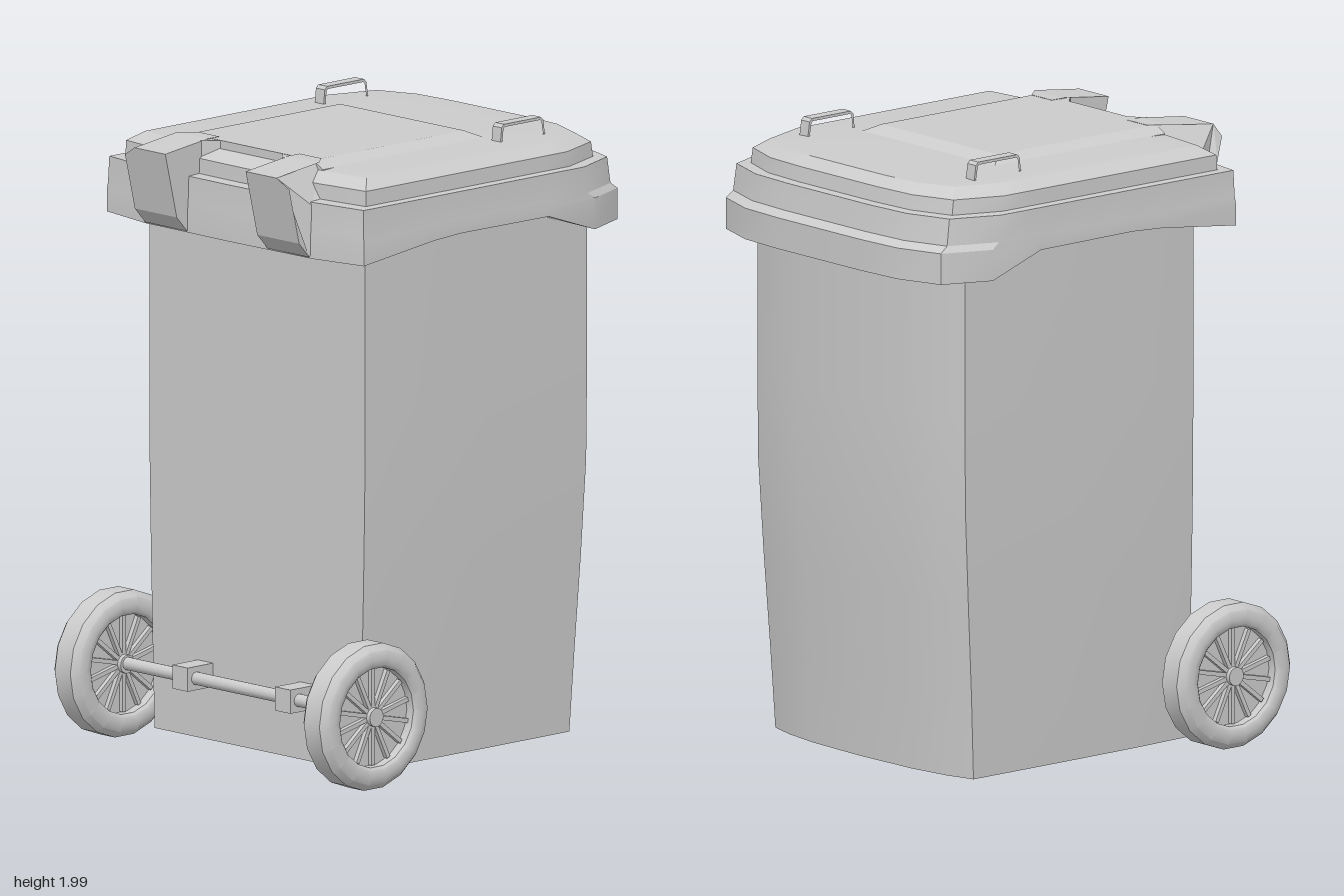
import * as THREE from 'three';
import { toCreasedNormals } from 'three/addons/utils/BufferGeometryUtils.js';

const material = new THREE.MeshStandardMaterial({ color: 0xcccccc });

function part(name, geometry, parent, x = 0, y = 0, z = 0) {
  const mesh = new THREE.Mesh(geometry, material);
  mesh.name = name;
  mesh.position.set(x, y, z);
  parent.add(mesh);
  return mesh;
}

// Closed skin through rings listed bottom to top, each counterclockwise seen from above
function loft(rings, crease = 0.45) {
  const pos = [];
  const tri = (...pts) => pts.forEach((p) => pos.push(...p));
  const n = rings[0].length;
  for (let i = 0; i < rings.length - 1; i++) {
    for (let j = 0; j < n; j++) {
      const k = (j + 1) % n, lo = rings[i], up = rings[i + 1];
      tri(lo[j], lo[k], up[k]);
      tri(lo[j], up[k], up[j]);
    }
  }
  const cap = (ring, upward) => {
    const c = [0, 1, 2].map((a) => ring.reduce((s, p) => s + p[a], 0) / n);
    ring.forEach((p, j) => {
      const q = ring[(j + 1) % n];
      upward ? tri(c, p, q) : tri(c, q, p);
    });
  };
  cap(rings[0], false);
  cap(rings[rings.length - 1], true);
  const g = new THREE.BufferGeometry();
  g.setAttribute('position', new THREE.Float32BufferAttribute(pos, 3));
  return toCreasedNormals(g, crease);
}

// Full ring from its +x half, listed from front to back; y may be a rule of z
function mirrorRing(half, y) {
  const at = (x, z) => [x, typeof y === 'function' ? y(z) : y, z];
  const left = half.map(([x, z]) => at(x, z));
  const right = half.filter(([x]) => x > 0).reverse().map(([x, z]) => at(-x, z));
  return [...left, ...right];
}

const bodyRing = (y, w, back) => mirrorRing([
  [0, 0.41], [w - 0.012, 0.41], [w - 0.003, 0.2], [w, -0.1], [w, back + 0.055],
  [w * 0.8, back + 0.028], [w * 0.5, back + 0.008], [0, back],
], y);

const lidRing = (y, w, corner, front, back) => mirrorRing([
  [0, front], [w * 0.65, front - 0.005], [w, corner], [w, 0.2], [w, 0.08], [w, -0.3],
  [w, back + 0.22], [w * 0.89, back + 0.06], [w * 0.63, back + 0.01], [w * 0.34, back], [0, back],
], y);

// Lower edge of the lid skirt, arched along the sides
const skirtEdge = [[-0.5, 1.655], [-0.3, 1.725], [0.08, 1.727], [0.2, 1.72], [0.41, 1.69], [0.54, 1.68]];
function skirtY(z) {
  if (z <= skirtEdge[0][0]) return skirtEdge[0][1];
  for (let i = 1; i < skirtEdge.length; i++) {
    const [z0, y0] = skirtEdge[i - 1], [z1, y1] = skirtEdge[i];
    if (z <= z1) return y0 + (y1 - y0) * (z - z0) / (z1 - z0);
  }
  return 1.68;
}

// Extrudes a (z, y) outline along x, from x = 0 to x = width
function extrudeX(points, width, hole) {
  const shape = new THREE.Shape(points.map(([z, y]) => new THREE.Vector2(-z, y)));
  if (hole) shape.holes.push(new THREE.Path(hole.map(([z, y]) => new THREE.Vector2(-z, y))));
  return new THREE.ExtrudeGeometry(shape, { depth: width, bevelEnabled: false }).rotateY(Math.PI / 2);
}

function makeWheel() {
  const wheel = new THREE.Group();
  wheel.name = 'wheel';
  const side = [[0.235, 0.035], [0.216, 0.056], [0.19, 0.0625], [0.168, 0.058], [0.16, 0.05], [0.16, 0.01]];
  const profile = [...side.map(([r, a]) => [r, -a]).reverse(), ...side].map(([r, a]) => new THREE.Vector2(r, a));
  part('tyre', toCreasedNormals(new THREE.LatheGeometry(profile, 18), 0.6).rotateZ(Math.PI / 2), wheel);
  part('wheelDisc', new THREE.CylinderGeometry(0.163, 0.163, 0.04, 18).rotateZ(Math.PI / 2), wheel);
  part('hub', new THREE.CylinderGeometry(0.03, 0.03, 0.1, 14).rotateZ(Math.PI / 2), wheel);
  for (let i = 0; i < 14; i++) {
    const spoke = new THREE.BoxGeometry(0.07, 0.13, 0.014).translate(0, 0.09, 0);
    part('spoke', spoke.rotateX((i / 14) * Math.PI * 2), wheel);
  }
  return wheel;
}

export function createModel() {
  const model = new THREE.Group();
  model.name = 'wheeledBin';
  const bin = new THREE.Group();
  bin.name = 'bin';
  bin.position.x = -0.005;
  model.add(bin);

  // Tapered container with a bowed back
  part('container', loft([
    bodyRing(0.03, 0.477, -0.545), bodyRing(0.3, 0.485, -0.56), bodyRing(0.6, 0.493, -0.58),
    bodyRing(0.9, 0.499, -0.597), bodyRing(1.2, 0.5, -0.6), bodyRing(1.84, 0.5, -0.6),
  ], 0.6), bin);

  // Lid: underside, skirt, stepped back, slab and bevelled top
  part('lid', loft([
    lidRing(skirtY, 0.47, 0.39, 0.39, -0.57),
    lidRing(skirtY, 0.582, 0.505, 0.54, -0.72),
    lidRing(1.755, 0.582, 0.505, 0.54, -0.72),
    lidRing(1.775, 0.579, 0.503, 0.538, -0.692),
    lidRing(1.86, 0.576, 0.5, 0.535, -0.68),
    lidRing(1.862, 0.545, 0.46, 0.49, -0.645),
    lidRing(1.91, 0.543, 0.458, 0.488, -0.638),
    lidRing(1.94, 0.5, 0.415, 0.44, -0.6),
    lidRing(1.945, 0.42, 0.34, 0.35, -0.48),
  ], 0.4), bin);

  // Raised panel with sloping sides
  part('lidPanel', loft([
    mirrorRing([[0.323, 0.435], [0.323, -0.27]], 1.93),
    mirrorRing([[0.323, 0.435], [0.323, -0.27]], 1.943),
    mirrorRing([[0.28, 0.435], [0.28, -0.22]], 1.967),
  ], 0.2), bin);

  // Front hinge arms, narrowed at the outer top edge
  const hingeOutline = [[0.4, 1.968], [0.45, 1.968], [0.635, 1.945], [0.628, 1.915], [0.61, 1.84],
    [0.585, 1.735], [0.54, 1.685], [0.53, 1.7], [0.53, 1.85], [0.4, 1.85]];
  for (const s of [1, -1]) {
    const arm = extrudeX(hingeOutline, 0.19).translate(s > 0 ? 0.182 : -0.372, 0, 0);
    const p = arm.attributes.position;
    for (let i = 0; i < p.count; i++) {
      if (p.getY(i) > 1.92 && Math.abs(p.getX(i)) > 0.3) p.setX(i, s * (p.getZ(i) < 0.42 ? 0.28 : 0.322));
    }
    arm.computeVertexNormals();
    part('hingeArm', arm, bin);
    const corner = new THREE.Shape([[0.135, 0.43], [0.185, 0.43], [0.185, 0.48]]
      .map(([x, z]) => new THREE.Vector2(s * x, -z)));
    part('hingeCorner', new THREE.ExtrudeGeometry(corner, { depth: 0.066, bevelEnabled: false })
      .rotateX(-Math.PI / 2), bin, 0, 1.9, 0);
  }

  // Strap handles on the lid
  const outer = [[-0.25, 1.93], [-0.257, 1.99], [-0.267, 2], [-0.428, 2], [-0.438, 1.99], [-0.447, 1.93]];
  const inner = [[-0.258, 1.935], [-0.265, 1.986], [-0.27, 1.991], [-0.425, 1.991], [-0.43, 1.986], [-0.439, 1.935]];
  for (const x of [-0.428, 0.373]) part('handle', extrudeX(outer, 0.04, inner), bin, x);

  // Axle, its brackets and the wheels
  part('axle', new THREE.CylinderGeometry(0.021, 0.021, 1.06, 12).rotateZ(Math.PI / 2), model, 0, 0.24, 0.483);
  for (const x of [-0.24, 0.225]) part('axleBracket', new THREE.BoxGeometry(0.07, 0.076, 0.12), model, x, 0.24, 0.46);
  for (const s of [1, -1]) {
    const wheel = makeWheel();
    wheel.position.set(s * 0.564 - 0.002, 0.238, 0.483);
    model.add(wheel);
  }
  return model;
}
